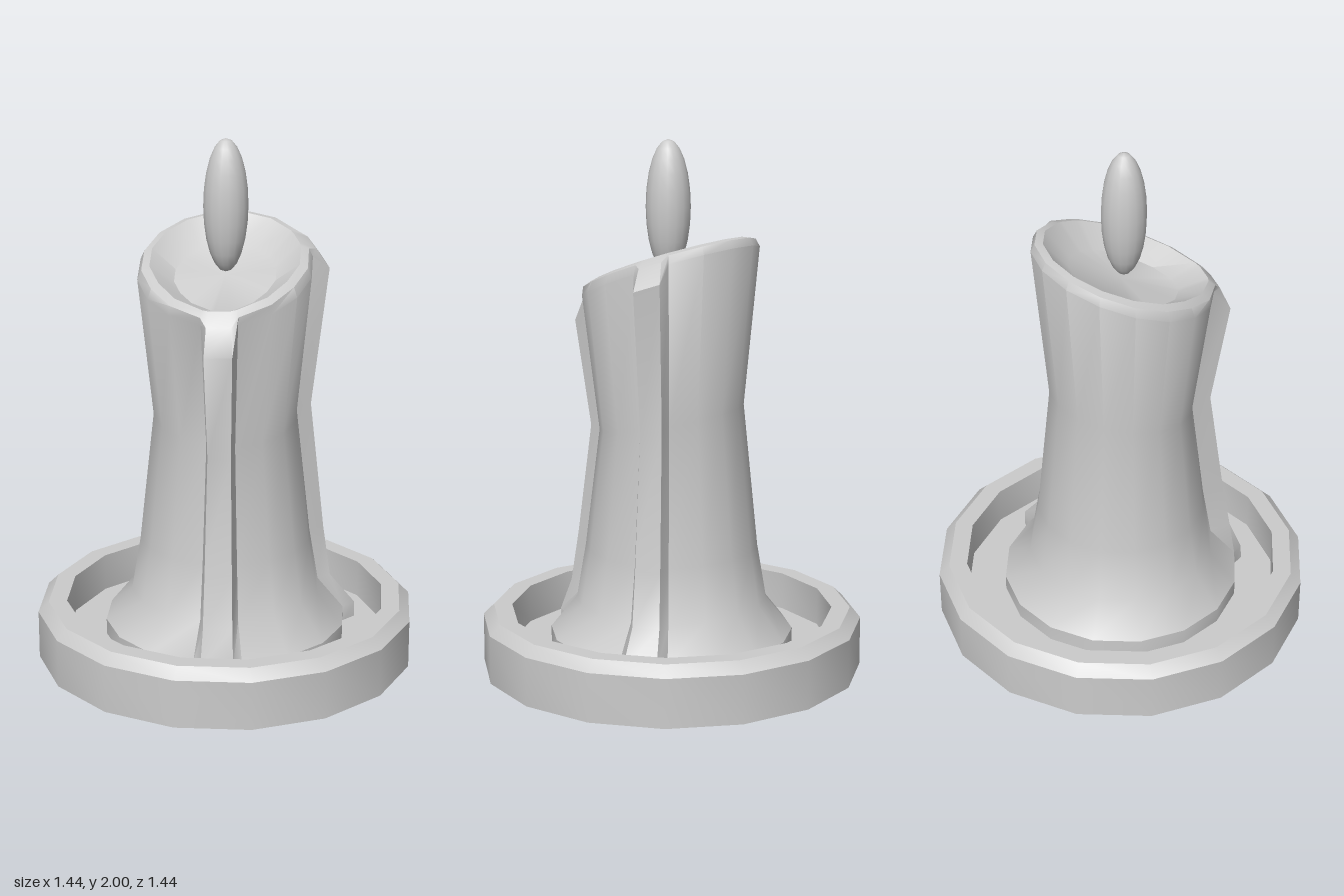
import * as THREE from 'three';
import { toCreasedNormals } from 'three/addons/utils/BufferGeometryUtils.js';

const SIDES = 16;
const STEP = (Math.PI * 2) / SIDES;

// Height of the slanted candle top
const slant = (x, z) => 1.56 + 0.1 * x - 0.35 * z;

// Rows from the base up over the rim and into the bowl.
// r: radius, y: height (tilt leans it along z) or drop: depth below the slanted top,
// front / side: how far each wax drip stands out, sag: extra drop of the drips,
// pull: stretch of the rim towards the front drip
const ROWS = [
  { r: 0.46, y: 0.06, front: 0.04, side: 0.055 },
  { r: 0.46, y: 0.14, front: 0.035, side: 0.055 },
  { r: 0.36, y: 0.265, front: 0.085, side: 0.055 },
  { r: 0.325, y: 0.47, front: 0.085, side: 0.06 },
  { r: 0.27, y: 0.965, tilt: -0.2, front: 0.08, side: 0.06 },
  { r: 0.325, drop: 0.045, front: 0.075, side: 0.07, sag: 0.07, pull: 0.02 },
  { r: 0.31, drop: 0.012, front: 0.02, side: 0.03, sag: 0.02, pull: 0.05 },
  { r: 0.28, drop: 0, front: 0, side: 0, pull: 0.055 },
  { r: 0.19, drop: 0.07, front: 0, side: 0, pull: 0.03 },
];

// One cross-section: a 16-sided ring with two extra corners on each drip
function crossSection(row) {
  const points = [];
  const add = (angle, out = 0, sag = 0) => {
    const away = Math.abs(Math.atan2(Math.sin(angle + STEP / 2), Math.cos(angle + STEP / 2)));
    const pull = (row.pull ?? 0) * Math.max(0, 1 - away / 0.9);
    const r = row.r + out + pull;
    const x = r * Math.sin(angle);
    const z = r * Math.cos(angle);
    const y = row.y !== undefined ? row.y + (row.tilt ?? 0) * z : slant(x, z) - row.drop - sag;
    points.push(new THREE.Vector3(x, y, z));
  };
  for (let i = 0; i < SIDES; i++) {
    add(i * STEP);
    const out = i === 4 ? row.side : i === SIDES - 1 ? row.front : undefined;
    if (out !== undefined) {
      add((i + 0.19) * STEP, out, row.sag);
      add((i + 0.81) * STEP, out, row.sag);
    }
  }
  return points;
}

function candleGeometry() {
  const rings = ROWS.map(crossSection);
  const n = rings[0].length;
  const positions = rings.flat().flatMap((p) => p.toArray());
  const index = [];
  for (let j = 0; j < rings.length - 1; j++) {
    for (let i = 0; i < n; i++) {
      const a = j * n + i;
      const b = j * n + ((i + 1) % n);
      index.push(a, b, b + n, a, b + n, a + n);
    }
  }
  // Bowl floor
  const last = (rings.length - 1) * n;
  positions.push(0, slant(0, 0) - 0.07, 0);
  for (let i = 0; i < n; i++) index.push(last + i, last + ((i + 1) % n), last + n);

  const geometry = new THREE.BufferGeometry();
  geometry.setAttribute('position', new THREE.Float32BufferAttribute(positions, 3));
  geometry.setIndex(index);
  return toCreasedNormals(geometry, 0.65);
}

export function createModel() {
  const group = new THREE.Group();
  group.name = 'candle';
  const material = new THREE.MeshStandardMaterial({ color: 0xcccccc });
  const addPart = (name, geometry) => {
    const mesh = new THREE.Mesh(geometry, material);
    mesh.name = name;
    group.add(mesh);
    return mesh;
  };

  // Dish with a bevelled rim and a sunken floor
  const profile = [
    [0, 0], [0.72, 0], [0.72, 0.185], [0.68, 0.225], [0.61, 0.225], [0.61, 0.08], [0, 0.08],
  ].map(([x, y]) => new THREE.Vector2(x, y));
  addPart('dish', toCreasedNormals(new THREE.LatheGeometry(profile, SIDES), 0.6));

  // Wax body with its drips, rim and bowl
  addPart('waxBody', candleGeometry());

  // Flame
  const flame = addPart('flame', new THREE.SphereGeometry(1, 16, 12));
  flame.scale.set(0.083, 0.247, 0.083);
  flame.position.set(0, 1.753, 0.013);

  return group;
}
